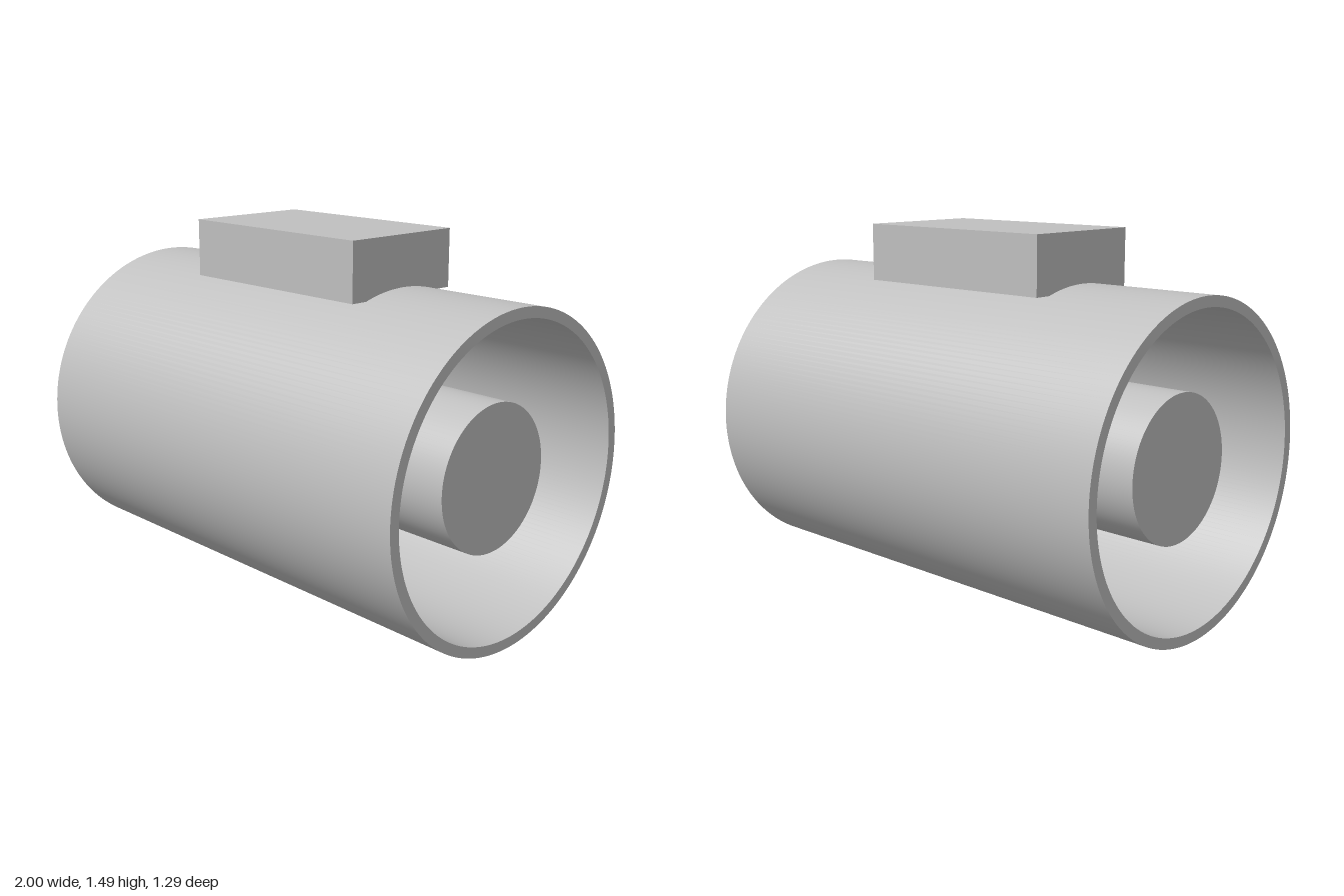
import * as THREE from 'three';
import { toCreasedNormals } from 'three/addons/utils/BufferGeometryUtils.js';

const AXIS_Y = 0.645;   // height of the tube axis
const OUTER = 0.645;
const INNER = 0.603;
const HUB_R = 0.287;

export function createModel() {
  const model = new THREE.Group();
  model.name = 'ductedFan';
  const grey = new THREE.MeshStandardMaterial({ color: 0xc0c0c0 });
  grey.name = 'plain grey';

  const add = (name, geometry, parent = model) => {
    const mesh = new THREE.Mesh(geometry, grey);
    mesh.name = name;
    parent.add(mesh);
    return mesh;
  };

  // Hollow casing, open at both ends, lying along x
  const ring = new THREE.Shape().absarc(0, 0, OUTER, 0, Math.PI * 2, false);
  ring.holes.push(new THREE.Path().absarc(0, 0, INNER, 0, Math.PI * 2, true));
  const casing = new THREE.ExtrudeGeometry(ring, { depth: 2, bevelEnabled: false, curveSegments: 96 });
  casing.translate(0, 0, -1).rotateY(Math.PI / 2);
  add('casing', toCreasedNormals(casing, 0.5)).position.y = AXIS_Y;

  // Motor hub, recessed slightly from both ends
  const hub = new THREE.CylinderGeometry(HUB_R, HUB_R, 1.82, 96).rotateZ(Math.PI / 2);
  add('hub', hub).position.y = AXIS_Y;

  // Three struts holding the hub, set well inside the casing
  const struts = new THREE.Group();
  struts.name = 'struts';
  struts.position.y = AXIS_Y;
  model.add(struts);
  const r0 = HUB_R - 0.015, r1 = INNER + 0.01;
  for (let i = 0; i < 3; i++) {
    const strut = new THREE.BoxGeometry(0.9, r1 - r0, 0.05).translate(0, (r0 + r1) / 2, 0);
    add('strut' + (i + 1), strut, struts).rotation.x = (i * Math.PI * 2) / 3;
  }

  // Terminal box seated in the top of the casing
  add('terminalBox', new THREE.BoxGeometry(0.89, 0.23, 0.53)).position.y = 1.375;

  return model;
}
